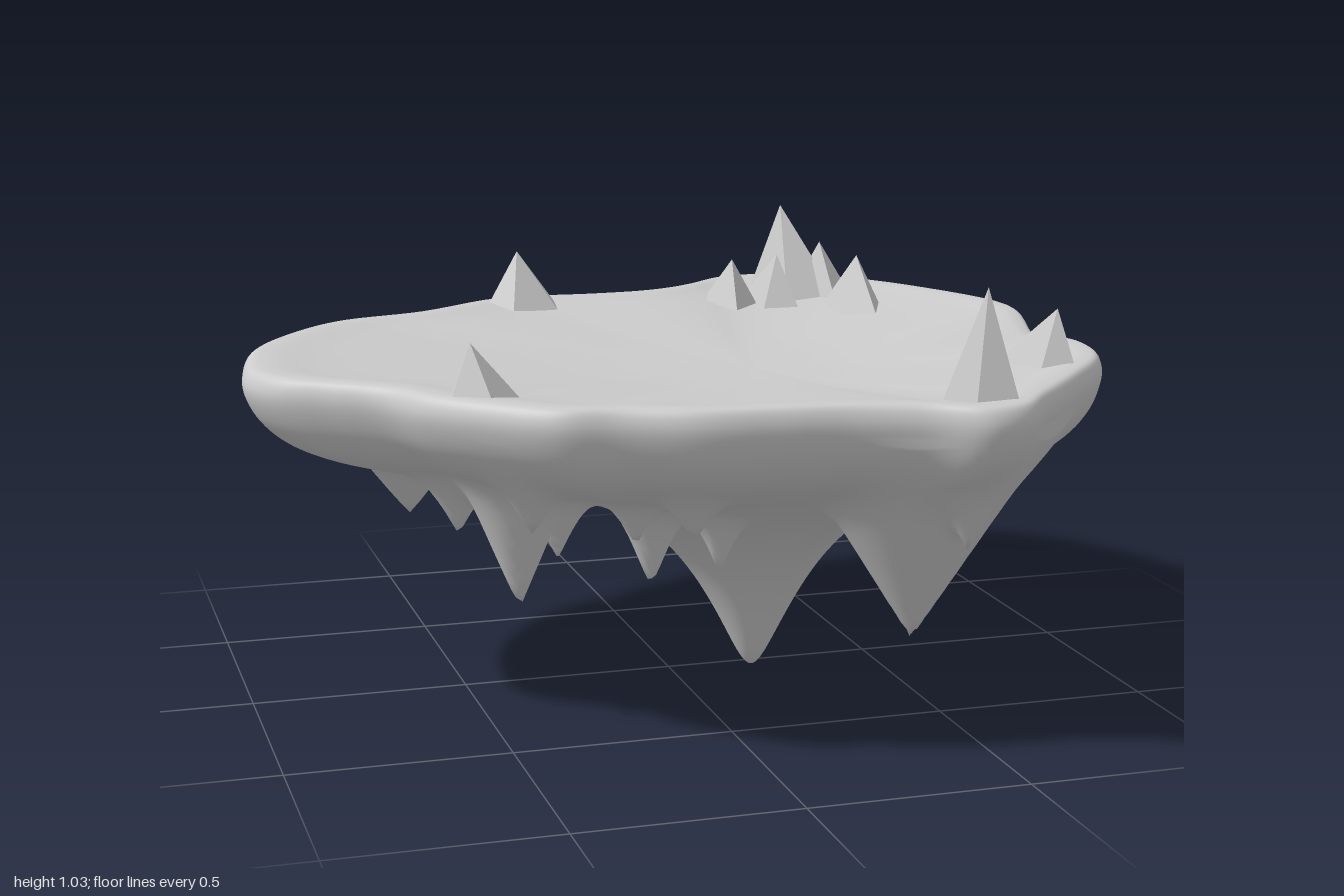
import * as THREE from 'three';

const V = (x, y, z = 0) => new THREE.Vector3(x, y, z);
const material = new THREE.MeshStandardMaterial({ color: 0xcccccc, roughness: 0.9, side: THREE.DoubleSide });
const facetMaterial = material.clone();
facetMaterial.flatShading = true;

// Island outline seen from above, as [x, z]
const OUTLINE = [
  [1, -0.27], [0.955, 0], [0.945, 0.25], [0.9, 0.45], [0.75, 0.65], [0.6, 0.82], [0.5, 0.935], [0.41, 0.955],
  [0.3, 0.89], [0.15, 0.845], [0, 0.83], [-0.17, 0.81], [-0.33, 0.75], [-0.45, 0.72], [-0.57, 0.62],
  [-0.68, 0.5], [-0.75, 0.38], [-0.85, 0.3], [-0.95, 0.22], [-1, 0.12], [-0.99, -0.05], [-0.96, -0.18],
  [-0.87, -0.34], [-0.72, -0.5], [-0.5, -0.58], [-0.25, -0.74], [0, -0.74], [0.13, -0.75], [0.22, -0.78],
  [0.3, -0.83], [0.42, -0.93], [0.52, -0.95], [0.64, -0.91], [0.77, -0.8], [0.89, -0.6],
];

// Section from the middle of the top, round the rim, to the middle of the underside: [share of radius, y]
const SECTION = [
  [0, 0.73], [0.3, 0.74], [0.6, 0.765], [0.85, 0.79], [0.95, 0.803], [0.985, 0.797], [1, 0.76], [0.98, 0.695],
  [0.935, 0.64], [0.87, 0.6], [0.75, 0.56], [0.6, 0.525], [0.45, 0.495], [0.32, 0.475], [0.2, 0.465],
  [0.11, 0.46], [0.05, 0.46], [0, 0.46],
];

// Hanging spikes: x, z, tip y, steepness
const SPIKES = [
  [0.4, 0.56, 0.2, 1.6], [-0.22, -0.2, 0.26, 1.5], [0.48, 0.45, 0.32, 2], [-0.44, 0.32, 0.27, 2.4],
  [-0.6, -0.13, 0.39, 1.3], [-0.13, 0.3, 0.29, 2.4], [-0.3, 0.11, 0.32, 2], [0.02, 0.34, 0.32, 2.4],
  [-0.12, 0.6, 0.47, 1.7], [-0.45, 0.5, 0.48, 1.8], [0.44, 0.77, 0.45, 2], [-0.39, -0.52, 0.46, 1.7],
  [0.42, -0.47, 0.41, 1.9], [0.24, -0.55, 0.39, 2.1], [0.79, -0.63, 0.46, 2.8], [0.85, -0.52, 0.51, 2.6],
  [0.71, -0.72, 0.53, 2.4], [-0.55, 0.2, 0.42, 1.8], [-0.2, 0.42, 0.42, 2],
];

// Lower of two heights, with a rounded join
function blendMin(a, b, k) {
  const h = Math.max(k - Math.abs(a - b), 0) / k;
  return Math.min(a, b) - (h * h * k) / 4;
}

// Loft of scaled outlines; the underside is drawn down into the main root at the pole and into the spikes
function islandGeometry() {
  const cx = 0.2, cz = 0.03, around = 220, steps = 17 * 8;
  const rim = new THREE.CatmullRomCurve3(OUTLINE.map(([x, z]) => V(x, 0, z)), true).getPoints(around).slice(0, around);
  const section = new THREE.CatmullRomCurve3(SECTION.map(([t, y]) => V(t, y))).getPoints(steps);
  const positions = [], index = [];
  section.forEach((s, i) => {
    const t = Math.max(0, s.x), under = i > (steps * 6.5) / 17;
    for (const p of rim) {
      const x = cx + (p.x - cx) * t, z = cz + (p.z - cz) * t;
      let y = s.y;
      // Shallow notch in the +x rim
      if (p.x > 0.6) y -= 0.2 * Math.max(0, y - 0.6) * t ** 4 * Math.exp(-((p.z / 0.17) ** 2));
      if (under) {
        const d = Math.hypot(x - cx, z - cz, 0.04) - 0.04;
        y -= 0.46 * Math.exp(-d / 0.16) * (1 - t * t);
        for (const [sx, sz, tip, slope] of SPIKES) y = blendMin(y, tip + slope * Math.hypot(x - sx, z - sz), 0.07);
      }
      positions.push(x, y, z);
    }
  });
  for (let i = 0; i < steps; i++) {
    for (let j = 0; j < around; j++) {
      const k = (j + 1) % around;
      const a = i * around + j, b = i * around + k, c = a + around, d = b + around;
      index.push(a, b, c, b, d, c);
    }
  }
  const g = new THREE.BufferGeometry();
  g.setAttribute('position', new THREE.Float32BufferAttribute(positions, 3));
  g.setIndex(index);
  g.computeVertexNormals();
  return g;
}

// Faceted peak whose base may be shifted sideways from its tip
function crag(x, z, tip, rx, rz, shiftX = 0, shiftZ = 0) {
  const base = 0.76, h = tip - base;
  const g = new THREE.ConeGeometry(1, h, 5, 1, true);
  g.rotateY(x * 5 + z);
  g.scale(rx, 1, rz);
  const p = g.attributes.position;
  for (let i = 0; i < p.count; i++) {
    if (p.getY(i) < 0) p.setXYZ(i, p.getX(i) + shiftX, p.getY(i), p.getZ(i) + shiftZ);
  }
  const mesh = new THREE.Mesh(g, facetMaterial);
  mesh.position.set(x, base + h / 2, z);
  mesh.name = 'crag';
  return mesh;
}

export function createModel() {
  const model = new THREE.Group();
  model.name = 'floatingIsland';

  const island = new THREE.Mesh(islandGeometry(), material);
  island.name = 'islandBody';
  model.add(island);

  // Peaks along the rim: x, z, tip y, half width, half depth, base shift
  const peaks = new THREE.Group();
  peaks.name = 'crags';
  [
    [0.45, 0.82, 1.03, 0.09, 0.12, 0.01, -0.03], [0.76, 0.5, 0.92, 0.08, 0.19, -0.01, -0.1],
    [-0.58, 0.5, 0.91, 0.1, 0.1, 0.03, -0.01], [-0.21, -0.66, 0.93, 0.12, 0.08, 0.02, 0.02],
    [0.54, -0.77, 1.01, 0.13, 0.17, 0.04, 0.02], [0.36, -0.63, 0.89, 0.08, 0.11, 0, -0.04],
    [0.65, -0.48, 0.91, 0.08, 0.13, 0, -0.02], [0.48, -0.62, 0.9, 0.08, 0.14, 0, -0.05],
    [0.62, -0.68, 0.92, 0.08, 0.15, 0.02, -0.04],
  ].forEach((c) => peaks.add(crag(...c)));
  model.add(peaks);

  return model;
}
